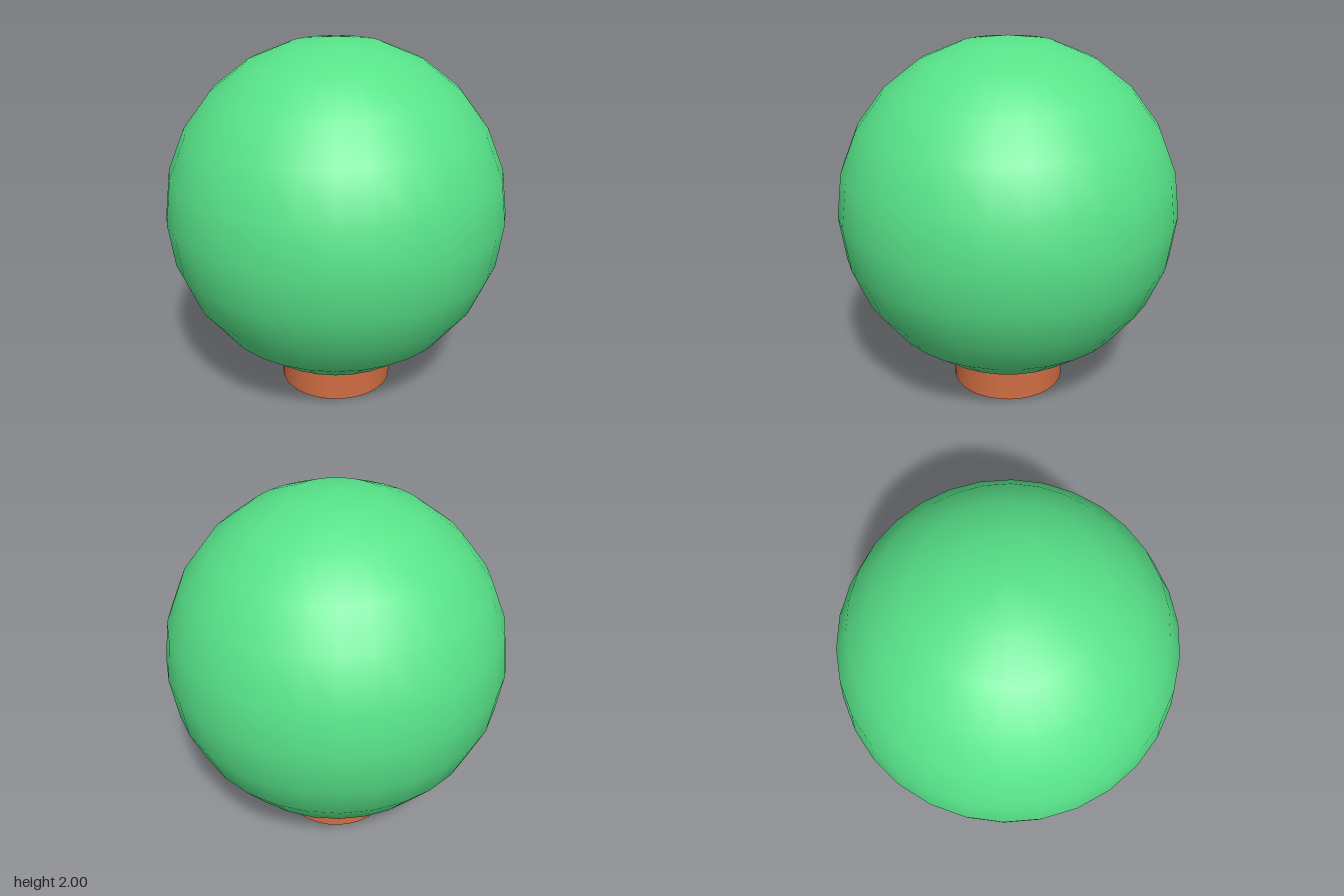
import * as THREE from 'three';

export function createModel() {
  const model = new THREE.Group();

  // round crown, turned so that vertices lie on the z axis
  const crown = new THREE.Mesh(
    new THREE.SphereGeometry(0.935, 30, 12),
    new THREE.MeshStandardMaterial({ color: 0x57e389 })
  );
  crown.name = 'crown';
  crown.position.y = 1.065;
  crown.rotation.y = Math.PI / 2;
  model.add(crown);

  // short open tube under the crown, its top just inside the sphere
  const height = 0.21;
  const trunk = new THREE.Mesh(
    new THREE.CylinderGeometry(0.32, 0.32, height, 32, 1, true),
    new THREE.MeshStandardMaterial({ color: 0xd06d43, side: THREE.DoubleSide })
  );
  trunk.name = 'trunk';
  trunk.position.y = height / 2;
  model.add(trunk);

  return model;
}
